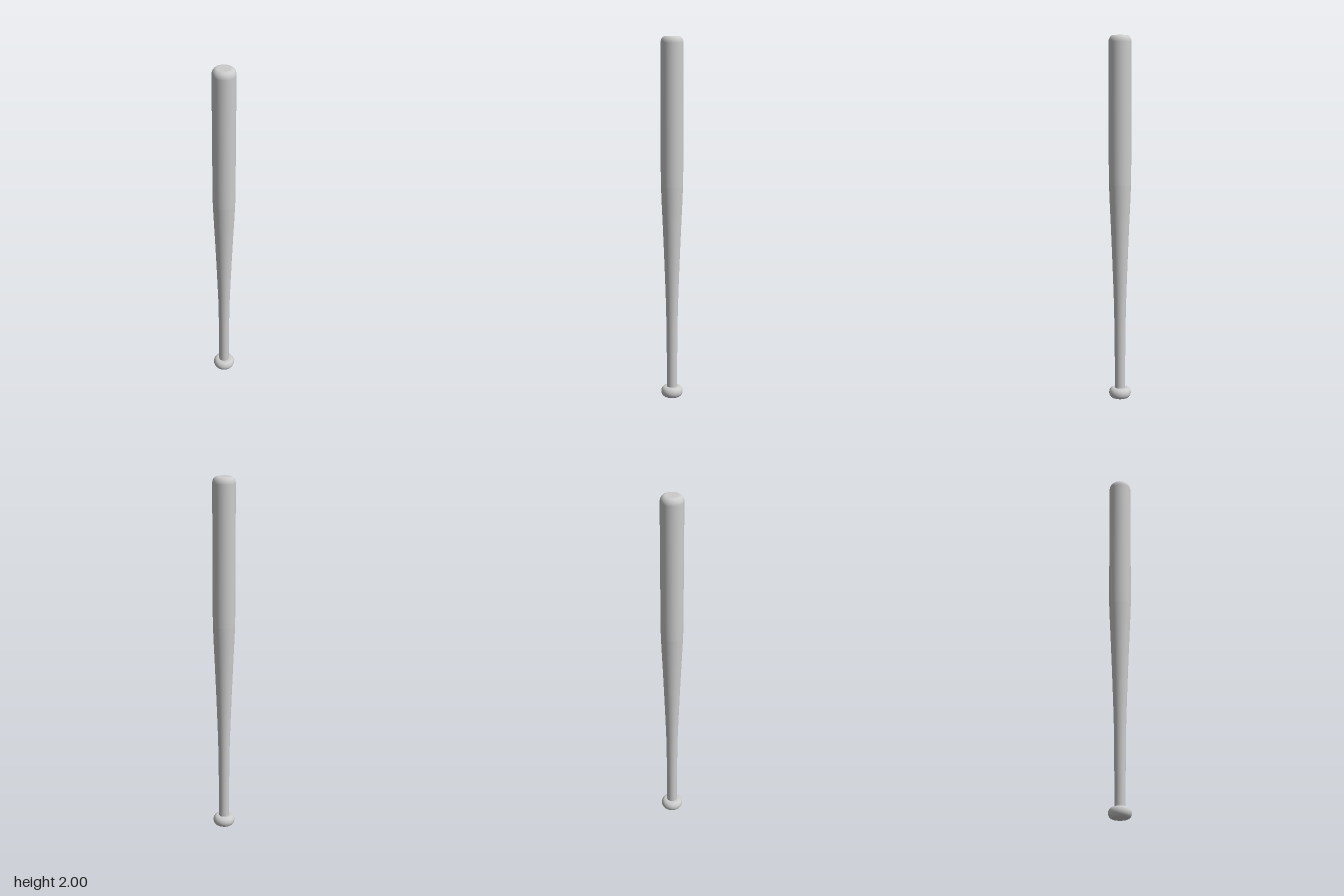
import * as THREE from 'three';

const material = new THREE.MeshStandardMaterial({ color: 0xcccccc });

// Quarter-ellipse arc of profile points between two angles
function arc(cx, cy, rx, ry, from, to, steps = 8) {
  return Array.from({ length: steps + 1 }, (_, i) => {
    const a = from + ((to - from) * i) / steps;
    return new THREE.Vector2(cx + rx * Math.cos(a), cy + ry * Math.sin(a));
  });
}

function turned(name, points) {
  const mesh = new THREE.Mesh(new THREE.LatheGeometry(points, 48), material);
  mesh.name = name;
  return mesh;
}

export function createModel() {
  const group = new THREE.Group();
  group.name = 'bat';
  const H = Math.PI / 2;
  const v = (r, y) => new THREE.Vector2(r, y);

  // Knob: flat disc with rounded rim
  group.add(turned('knob', [
    v(0, 0), v(0.03, 0),
    ...arc(0.037, 0.029, 0.024, 0.029, -H, H, 14),
    v(0.028, 0.058), v(0, 0.058),
  ]));

  // Slim handle that swells gently into the barrel
  group.add(turned('handle', [
    v(0.029, 0.05), v(0.029, 0.2), v(0.031, 0.4), v(0.033, 0.52),
    v(0.037, 0.64), v(0.043, 0.8), v(0.05, 0.97), v(0.056, 1.1), v(0.06, 1.2),
  ]));

  // Barrel with rounded shoulder and flat end
  group.add(turned('barrel', [
    v(0.06, 1.2), v(0.061, 1.28), v(0.061, 1.6), v(0.061, 1.9),
    ...arc(0.035, 1.965, 0.026, 0.035, 0, H, 10),
    v(0.03, 2), v(0, 2),
  ]));

  return group;
}
